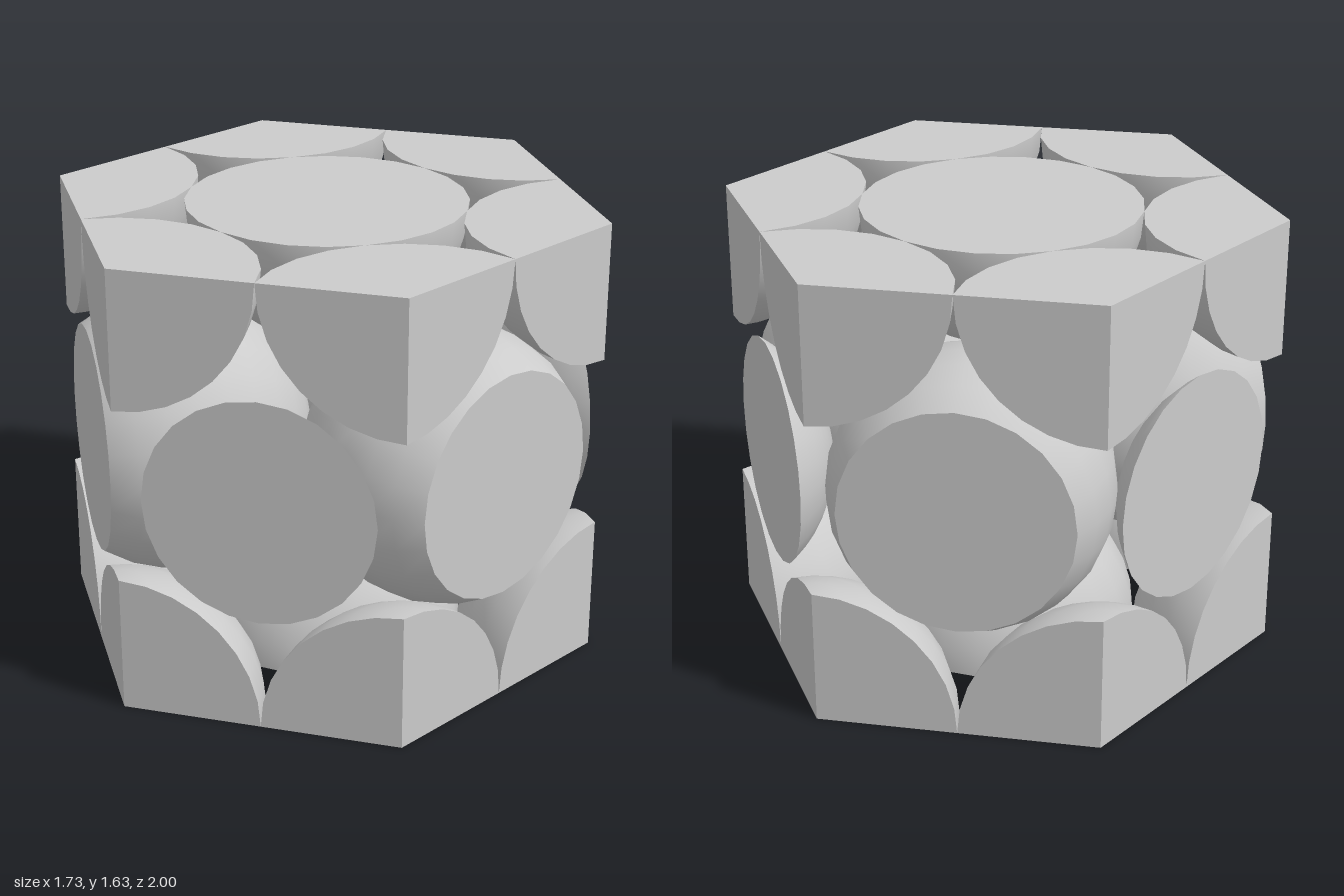
import * as THREE from 'three';
import { mergeGeometries } from 'three/addons/utils/BufferGeometryUtils.js';

const R = 0.5;                          // ball radius; hexagon side is 2R
const H = 4 * R * Math.sqrt(2 / 3);     // height of the hexagonal prism
const CUT = R / Math.sqrt(3);           // mid ball centre to prism face
const SEG = 24;
const THIRD = (2 * Math.PI) / 3;

// Ball around the origin, cut by the plane y = h, keeping the part above or below
function cutBall(h, keepAbove) {
  const t = Math.acos(h / R);
  const dome = keepAbove
    ? new THREE.SphereGeometry(R, SEG, 8, 0, Math.PI * 2, 0, t)
    : new THREE.SphereGeometry(R, SEG, 10, 0, Math.PI * 2, t, Math.PI - t);
  const disc = new THREE.CircleGeometry(R * Math.sin(t), SEG);
  disc.rotateX(keepAbove ? Math.PI / 2 : -Math.PI / 2).translate(0, h, 0);
  return mergeGeometries([dome, disc]);
}

// Upper half ball reduced to a 120 degree wedge that opens towards -x
function cornerWedge() {
  const n = SEG / 3, q = 8;
  return mergeGeometries([
    new THREE.SphereGeometry(R, n, q, -THIRD / 2, THIRD, 0, Math.PI / 2),
    new THREE.CircleGeometry(R, n, THIRD, THIRD).rotateX(Math.PI / 2),
    new THREE.CircleGeometry(R, q, Math.PI / 2, Math.PI / 2).rotateY(Math.PI / 3),
    new THREE.CircleGeometry(R, q, 0, Math.PI / 2).rotateY(THIRD),
  ]);
}

export function createModel() {
  const model = new THREE.Group();
  const material = new THREE.MeshStandardMaterial({ color: 0xcccccc });

  // Places a part at a distance from the axis, turned around it
  function add(name, geometry, distance, y, angle, flip = false) {
    const mesh = new THREE.Mesh(geometry, material);
    mesh.name = name;
    mesh.position.set(distance, y, 0);
    if (flip) mesh.rotation.x = Math.PI;
    const pivot = new THREE.Group();
    pivot.name = name + 'Pivot';
    pivot.rotation.y = angle;
    pivot.add(mesh);
    model.add(pivot);
  }

  // Bottom and top layers: a half ball in the middle, wedges at the six corners
  const half = cutBall(0, true);
  const wedge = cornerWedge();
  for (const [layer, y, flip] of [['bottom', 0, false], ['top', H, true]]) {
    add(layer + 'CentreHalfBall', half, 0, y, 0, flip);
    for (let i = 0; i < 6; i++) {
      add(layer + 'CornerWedge', wedge, 2 * R, y, Math.PI / 6 + (i * Math.PI) / 3, flip);
    }
  }

  // Middle layer: three trimmed balls alternating with three small caps
  const ball = cutBall(CUT, false).rotateZ(-Math.PI / 2);
  const cap = cutBall(CUT, true).rotateZ(Math.PI / 2);
  for (let i = 0; i < 3; i++) {
    add('middleBall', ball, 2 * CUT, H / 2, i * THIRD);
    add('middleCap', cap, 4 * CUT, H / 2, Math.PI / 3 + i * THIRD);
  }
  return model;
}
